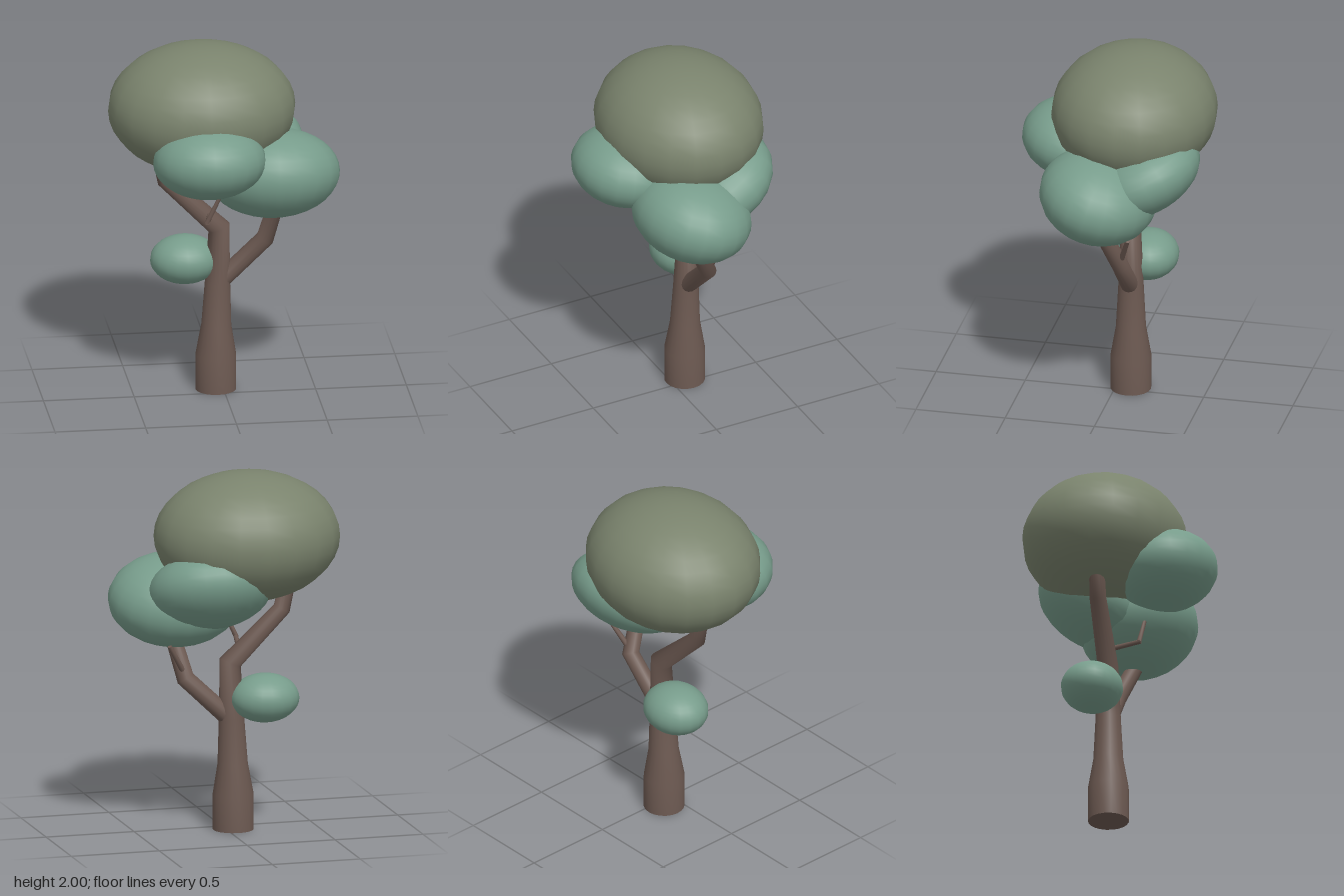
import * as THREE from 'three';

const bark = new THREE.MeshStandardMaterial({ name: 'bark', color: 0x6d5a52 });
const olive = new THREE.MeshStandardMaterial({ name: 'oliveLeaves', color: 0x7a836d });
const teal = new THREE.MeshStandardMaterial({ name: 'tealLeaves', color: 0x779c8b });

// Tapered limb through points [x, y, z, radius], with mitred bends and capped ends
function limbGeometry(path, sides = 16) {
  const points = path.map(([x, y, z]) => new THREE.Vector3(x, y, z));
  const last = points.length - 1;
  const direction = (i) => points[i + 1].clone().sub(points[i]).normalize();
  const reference = Math.abs(direction(0).z) > 0.8 ? new THREE.Vector3(1, 0, 0) : new THREE.Vector3(0, 0, 1);
  const positions = [];
  const index = [];

  points.forEach((point, k) => {
    const before = direction(Math.max(k - 1, 0));
    const after = direction(Math.min(k, last - 1));
    const tangent = before.clone().add(after).normalize();
    const u = reference.clone().addScaledVector(tangent, -reference.dot(tangent)).normalize();
    const v = tangent.clone().cross(u).multiplyScalar(1 / tangent.dot(before));
    for (let i = 0; i < sides; i++) {
      const angle = (i / sides) * Math.PI * 2;
      const p = point.clone()
        .addScaledVector(u, Math.cos(angle) * path[k][3])
        .addScaledVector(v, Math.sin(angle) * path[k][3]);
      positions.push(p.x, p.y, p.z);
    }
  });

  for (let k = 0; k < last; k++) {
    for (let i = 0; i < sides; i++) {
      const a = k * sides + i;
      const b = k * sides + ((i + 1) % sides);
      index.push(a, b, a + sides, b, b + sides, a + sides);
    }
  }

  // Caps use their own vertices so their rims stay sharp
  for (const k of [0, last]) {
    const first = positions.length / 3;
    positions.push(...positions.slice(k * sides * 3, (k + 1) * sides * 3), ...points[k].toArray());
    for (let i = 0; i < sides; i++) {
      const a = first + i;
      const b = first + ((i + 1) % sides);
      index.push(first + sides, ...(k === 0 ? [b, a] : [a, b]));
    }
  }

  const geometry = new THREE.BufferGeometry();
  geometry.setAttribute('position', new THREE.Float32BufferAttribute(positions, 3));
  geometry.setIndex(index);
  geometry.computeVertexNormals();
  return geometry;
}

export function createModel() {
  const tree = new THREE.Group();
  tree.name = 'tree';

  const addLimb = (name, path, sides) => {
    const mesh = new THREE.Mesh(limbGeometry(path, sides), bark);
    mesh.name = name;
    tree.add(mesh);
  };

  // Leaf cluster: a sphere stretched to its radii and tipped about x
  const addLeaves = (name, material, centre, radii, tilt = 0) => {
    const mesh = new THREE.Mesh(new THREE.SphereGeometry(1, 20, 18), material);
    mesh.name = name;
    mesh.position.set(...centre);
    mesh.scale.set(...radii);
    mesh.rotation.x = tilt;
    tree.add(mesh);
  };

  // Trunk, bending over into the main branch
  addLimb('trunk', [
    [-0.04, 0, -0.083, 0.112],
    [-0.04, 0.2, -0.083, 0.112],
    [-0.037, 0.37, -0.084, 0.083],
    [-0.03, 0.62, -0.086, 0.07],
    [-0.022, 0.935, -0.088, 0.057],
    [-0.315, 1.22, -0.088, 0.046],
    [-0.36, 1.42, -0.088, 0.042],
  ], 20);

  // Side branch with its elbow
  addLimb('sideBranch', [
    [-0.02, 0.62, -0.085, 0.05],
    [0.232, 0.86, -0.085, 0.047],
    [0.30, 1.2, 0.07, 0.042],
  ]);

  // Thin twigs
  addLimb('sideTwig', [[0.225, 0.865, -0.08, 0.017], [0.34, 1.06, -0.15, 0.012]], 8);
  addLimb('frontTwig', [[-0.07, 1.02, -0.085, 0.015], [-0.11, 1.035, 0.11, 0.013]], 8);
  addLimb('frontTwigTip', [[-0.112, 1.03, 0.10, 0.014], [-0.04, 1.19, 0.12, 0.011]], 8);

  // Foliage
  addLeaves('crown', olive, [-0.117, 1.64, -0.086], [0.516, 0.36, 0.453]);
  addLeaves('frontLeaves', teal, [-0.117, 1.445, 0.25], [0.31, 0.209, 0.288], -0.14);
  addLeaves('sideLeaves', teal, [0.262, 1.283, 0.032], [0.368, 0.248, 0.325], -0.26);
  addLeaves('backLeaves', teal, [0.12, 1.37, -0.185], [0.345, 0.21, 0.335], 0.47);
  addLeaves('lowLeaves', teal, [-0.203, 0.739, -0.143], [0.191, 0.135, 0.17]);

  return tree;
}
